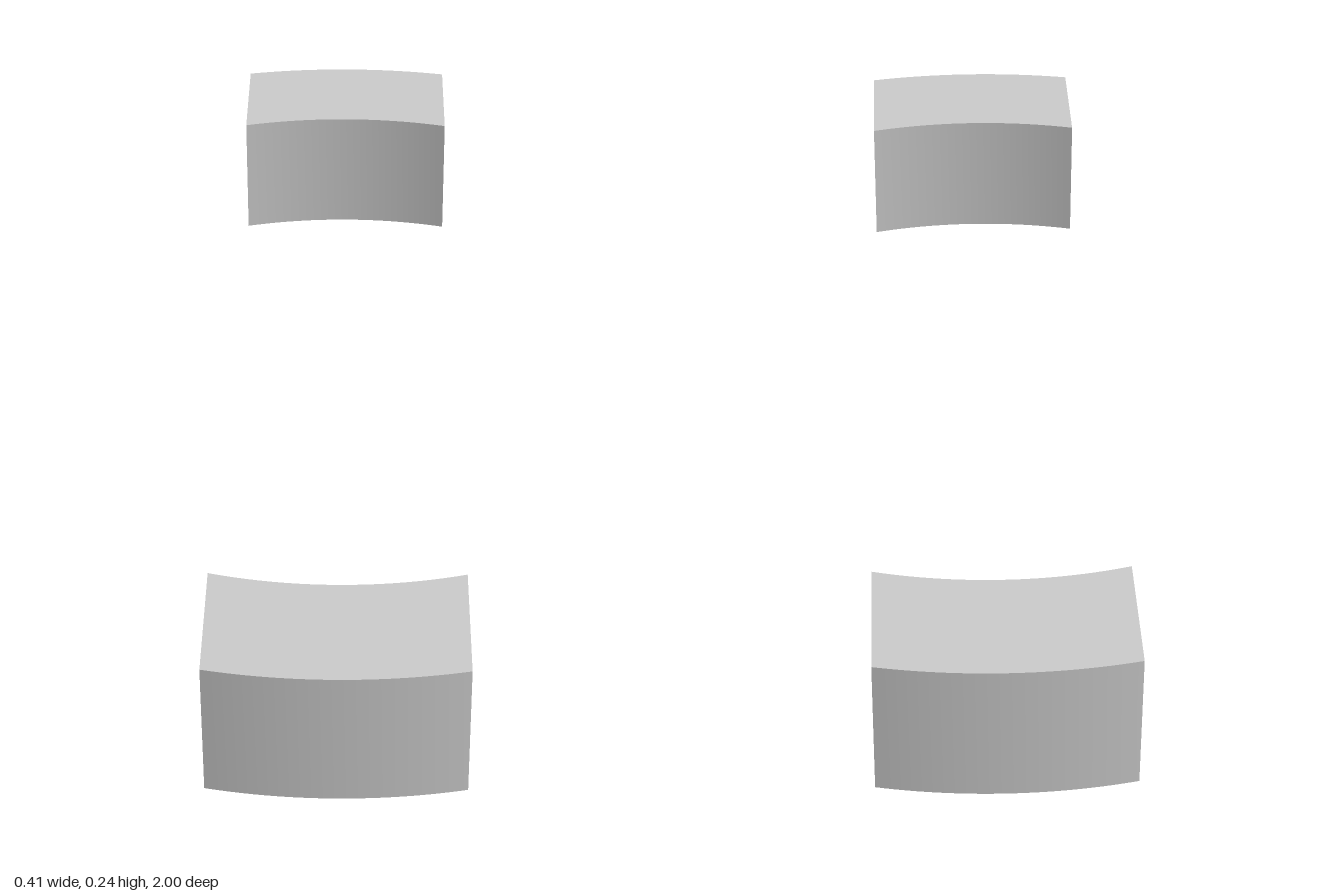
import * as THREE from 'three';
import { toCreasedNormals } from 'three/addons/utils/BufferGeometryUtils.js';

const OUTER = 1, INNER = 0.773, HALF_WIDTH = 0.206, HEIGHT = 0.242;

// Ring segment cut off by two parallel sides, extruded upwards
function curvedBlockGeometry() {
  const a = Math.asin(HALF_WIDTH / OUTER);
  const b = Math.asin(HALF_WIDTH / INNER);
  const mid = Math.PI / 2;
  const shape = new THREE.Shape();
  shape.absarc(0, 0, OUTER, mid - a, mid + a, false);
  shape.absarc(0, 0, INNER, mid + b, mid - b, true);
  shape.closePath();
  const geometry = new THREE.ExtrudeGeometry(shape, {
    depth: HEIGHT, bevelEnabled: false, curveSegments: 16,
  });
  geometry.rotateX(-Math.PI / 2);
  return toCreasedNormals(geometry, 0.5);
}

export function createModel() {
  const group = new THREE.Group();
  group.name = 'curvedBlockPair';
  const material = new THREE.MeshStandardMaterial({ color: 0xcccccc });
  const geometry = curvedBlockGeometry();

  // Two identical blocks facing each other across the centre
  for (const [name, turn] of [['backBlock', 0], ['frontBlock', Math.PI]]) {
    const block = new THREE.Mesh(geometry, material);
    block.name = name;
    block.rotation.y = turn;
    group.add(block);
  }
  return group;
}
